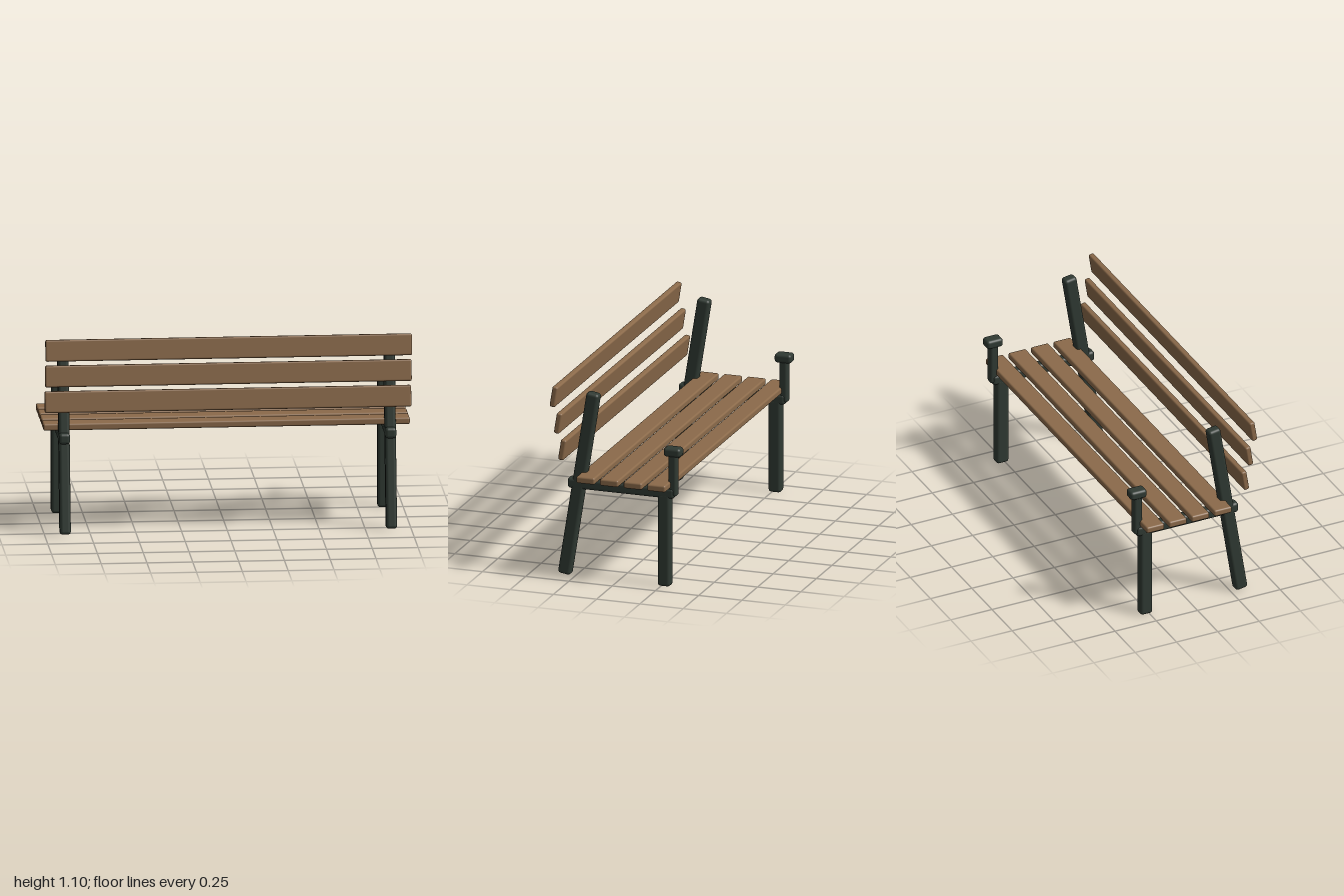
import * as THREE from 'three';
import { RoundedBoxGeometry } from 'three/addons/geometries/RoundedBoxGeometry.js';

const wood = new THREE.MeshStandardMaterial({ color: 0x8b6a4a });
wood.name = 'warm wood';
const iron = new THREE.MeshStandardMaterial({ color: 0x303a33 });
iron.name = 'dark green iron';

const RECLINE = -0.158; // tilt of the back posts and back slats

function bar(parent, name, material, size, position, radius, tilt = 0) {
  const mesh = new THREE.Mesh(new RoundedBoxGeometry(...size, 3, radius), material);
  mesh.name = name;
  mesh.position.set(...position);
  mesh.rotation.x = tilt;
  parent.add(mesh);
}

export function createModel() {
  const bench = new THREE.Group();
  bench.name = 'bench';

  // Seat slats, from the reclined posts to the arm posts
  for (let i = 0; i < 4; i++) {
    bar(bench, 'seatSlat', wood, [2, 0.038, 0.106], [0, 0.583, 0.156 - i * 0.1363], 0.01);
  }

  // Back slats, stepped along the recline
  for (let i = 0; i < 3; i++) {
    bar(bench, 'backSlat', wood, [2, 0.118, 0.032],
      [0, 0.743 + i * 0.149, 0.291 + i * 0.0245], 0.01, RECLINE);
  }

  // Mirrored iron end frames
  for (const [side, x] of [['left', 0.89], ['right', -0.89]]) {
    const frame = new THREE.Group();
    frame.name = side + 'Frame';
    frame.position.x = x;
    bench.add(frame);
    bar(frame, 'backPost', iron, [0.06, 1.06, 0.073], [0, 0.532, 0.228], 0.017, RECLINE);
    bar(frame, 'leg', iron, [0.06, 0.53, 0.073], [0, 0.265, -0.266], 0.017);
    bar(frame, 'seatRail', iron, [0.06, 0.06, 0.616], [0, 0.533, -0.018], 0.017);
    bar(frame, 'armPost', iron, [0.05, 0.25, 0.048], [0, 0.642, -0.315], 0.014);
    bar(frame, 'armCap', iron, [0.07, 0.05, 0.097], [0, 0.769, -0.315], 0.016);
  }
  return bench;
}
